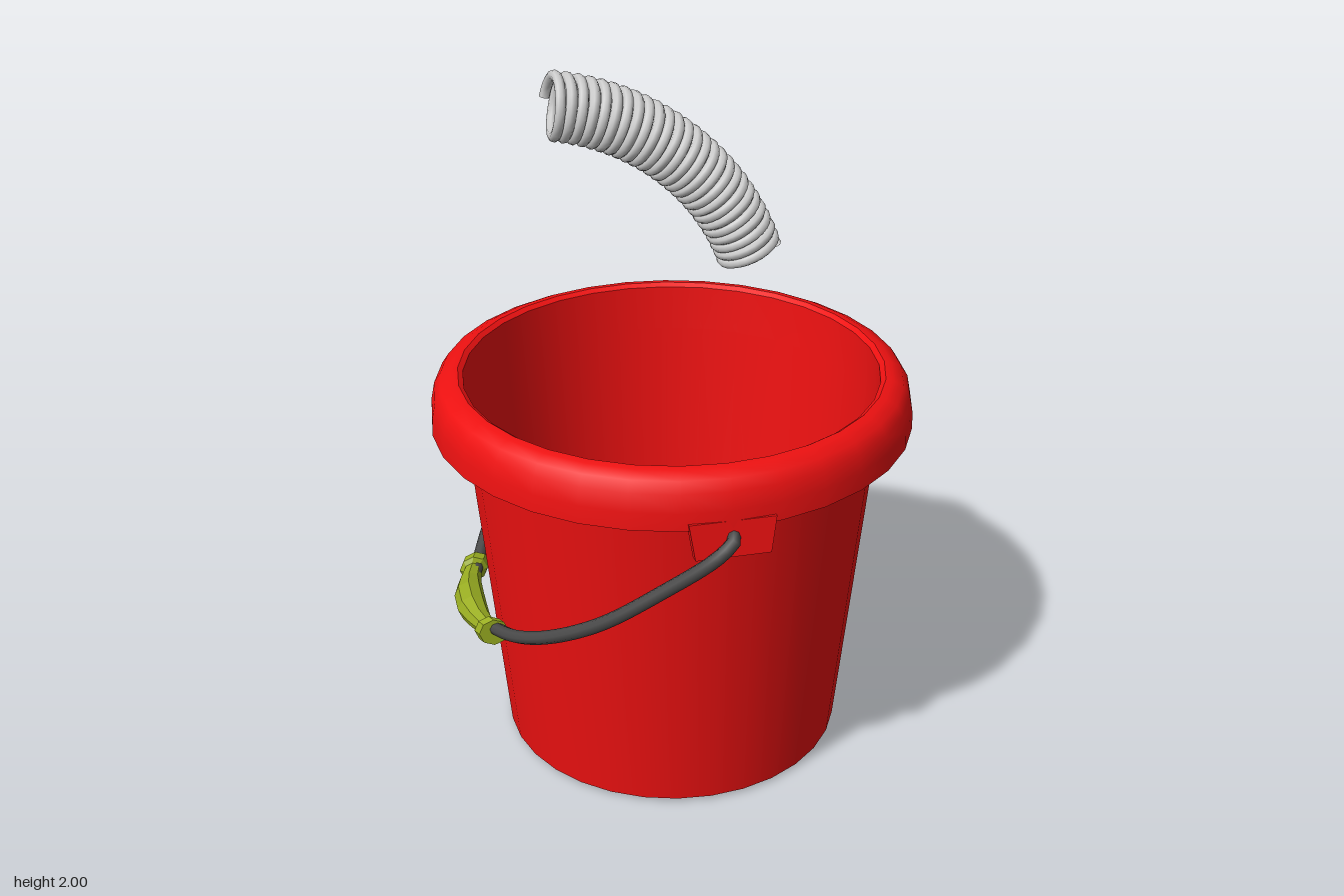
import * as THREE from 'three';
import { toCreasedNormals } from 'three/addons/utils/BufferGeometryUtils.js';

const RED = 0xee1111, DARK = 0x4a4a4a, GREEN = 0x9aae22;

function material(color, extra = {}) {
  return new THREE.MeshStandardMaterial({ color, ...extra });
}

function part(name, geometry, mat) {
  const mesh = new THREE.Mesh(geometry, mat);
  mesh.name = name;
  return mesh;
}

// Spring wire: a helix wound around a circular arc in the x-y plane
class BentHelix extends THREE.Curve {
  getPoint(t, target = new THREE.Vector3()) {
    const arc = THREE.MathUtils.degToRad(81 - 62 * t);
    const turn = Math.PI * 2 * (26.25 * t - 0.25);
    const r = 0.695 + 0.079 * Math.cos(turn);
    return target.set(
      -0.43 + r * Math.cos(arc),
      1.225 + r * Math.sin(arc),
      -0.02 + 0.079 * Math.sin(turn)
    );
  }
}

// Tapered wall, hollow rolled rim and inner wall as one turned profile
function bucketGeometry() {
  const profile = [
    [0, 0.002], [0.38, 0.004], [0.495, 0.012],
    [0.588, 1.0], [0.598, 1.1], [0.635, 1.1], [0.655, 1.07], [0.665, 1.0],
    [0.68, 1.0], [0.678, 1.05], [0.668, 1.1], [0.65, 1.128], [0.62, 1.143],
    [0.6, 1.145], [0.586, 1.135], [0.578, 1.0], [0.487, 0.03], [0, 0.03],
  ].map(([x, y]) => new THREE.Vector2(x, y));
  return toCreasedNormals(new THREE.LatheGeometry(profile, 32), 0.7);
}

// Trapezoid lug that carries one end of the handle
function lugGeometry() {
  const shape = new THREE.Shape();
  shape.moveTo(-0.1, -0.05);
  shape.lineTo(0.1, -0.05);
  shape.lineTo(0.115, 0.05);
  shape.lineTo(-0.115, 0.05);
  shape.closePath();
  const geometry = new THREE.ExtrudeGeometry(shape, { depth: 0.03, bevelEnabled: false });
  return geometry.translate(0, 0, -0.015);
}

// Handle wire: half the path as [fraction of drop, z], mirrored in z
function handleGeometry() {
  const half = [
    [0.0, 0.65], [0.0, 0.695], [0.07, 0.705], [0.3, 0.645],
    [0.57, 0.545], [0.82, 0.37], [0.96, 0.19],
  ].map(([s, z]) => new THREE.Vector3(-0.575 * s, 0.975 - 0.53 * s, z));
  const other = half.map((p) => new THREE.Vector3(p.x, p.y, -p.z)).reverse();
  const path = new THREE.CatmullRomCurve3([...half, new THREE.Vector3(-0.6, 0.447, 0), ...other]);
  return new THREE.TubeGeometry(path, 90, 0.019, 8);
}

// Faceted grip with flared ends, bowed outwards in the middle
function gripGeometry() {
  const profile = [
    [0, -0.19], [0.042, -0.19], [0.042, -0.165], [0.028, -0.155], [0.034, -0.1], [0.043, -0.04],
    [0.043, 0.04], [0.034, 0.1], [0.028, 0.155], [0.042, 0.165], [0.042, 0.19], [0, 0.19],
  ].map(([x, y]) => new THREE.Vector2(x, y));
  const geometry = new THREE.LatheGeometry(profile, 8).rotateX(Math.PI / 2);
  const pos = geometry.attributes.position;
  for (let i = 0; i < pos.count; i++) {
    const bow = 1 - (pos.getZ(i) / 0.19) ** 2;
    pos.setX(i, pos.getX(i) - 0.56 - 0.043 * bow);
    pos.setY(i, pos.getY(i) + 0.455 - 0.008 * bow);
  }
  return geometry;
}

export function createModel() {
  const model = new THREE.Group();
  model.name = 'bucketAndSpring';
  const red = material(RED, { side: THREE.DoubleSide });

  model.add(part('bucket', bucketGeometry(), red));

  // Flat fill inside the bucket
  const fill = part('fill', new THREE.CircleGeometry(0.525, 32), material(0x999999, { side: THREE.DoubleSide }));
  fill.rotation.x = -Math.PI / 2;
  fill.position.y = 0.37;
  model.add(fill);

  // Lugs front and back, leaning slightly
  for (const side of [1, -1]) {
    const lug = part(side > 0 ? 'frontLug' : 'backLug', lugGeometry(), red);
    lug.position.set(0, 0.97, side * 0.668);
    lug.rotation.x = side * -0.1;
    model.add(lug);
  }

  model.add(part('handle', handleGeometry(), material(DARK)));
  model.add(part('handleGrip', gripGeometry(), material(GREEN, { flatShading: true })));

  // Coil spring floating over the bucket
  model.add(part('spring', new THREE.TubeGeometry(new BentHelix(), 640, 0.0145, 8),
    material(0xcccccc, { side: THREE.DoubleSide })));

  return model;
}
